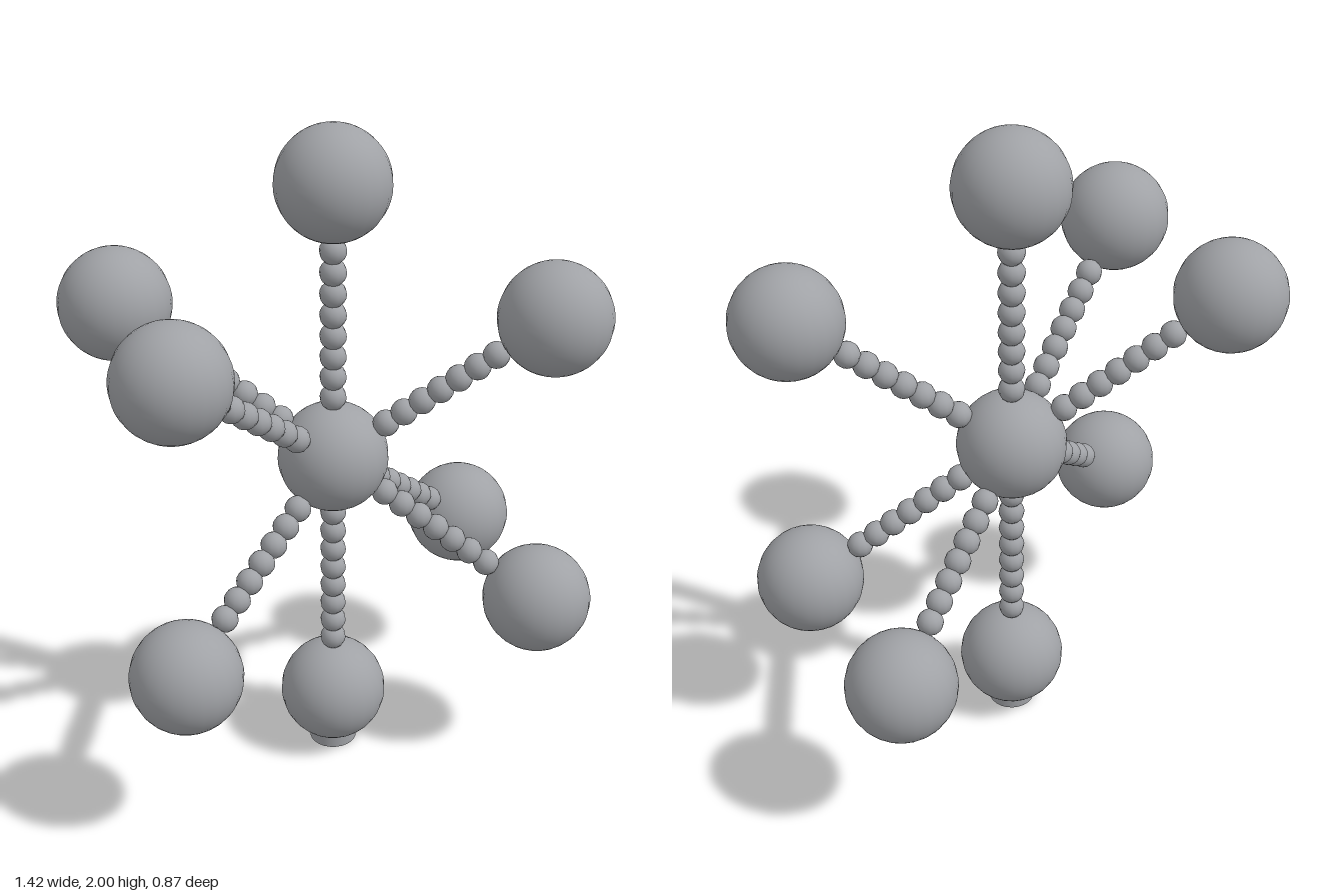
import * as THREE from 'three';

export function createModel() {
  const group = new THREE.Group();
  const grey = new THREE.MeshStandardMaterial({ color: 0xa0a2a6 });
  grey.name = 'grey metal';

  const ballGeometry = new THREE.SphereGeometry(0.162, 24, 24);
  const beadGeometry = new THREE.SphereGeometry(0.039, 12, 10);
  const center = new THREE.Vector3(0, 1.011, 0);
  const spacing = 0.0635;

  function add(geometry, name, position, parent = group) {
    const mesh = new THREE.Mesh(geometry, grey);
    mesh.name = name;
    mesh.position.copy(position);
    parent.add(mesh);
    return mesh;
  }

  // Central ball
  add(ballGeometry, 'centralBall', center);

  // Outer balls, each joined to the centre by a chain of beads
  const arms = [
    ['top', 0, 0.827, 0],
    ['bottom', 0, -0.827, 0],
    ['upperFrontLeft', 0.55, 0.457, 0.275],
    ['upperFrontRight', -0.55, 0.457, 0.275],
    ['upperBackRight', -0.55, 0.457, -0.275],
    ['lowerFrontLeft', 0.55, -0.457, 0.275],
    ['lowerFrontRight', -0.55, -0.457, 0.275],
    ['lowerBackLeft', 0.55, -0.457, -0.275],
  ];
  for (const [name, x, y, z] of arms) {
    const offset = new THREE.Vector3(x, y, z);
    add(ballGeometry, name + 'Ball', center.clone().add(offset));

    const chain = new THREE.Group();
    chain.name = name + 'BeadChain';
    group.add(chain);
    const direction = offset.clone().normalize();
    const end = offset.length() - 0.162;
    for (let d = 0.19; d < end; d += spacing) {
      add(beadGeometry, 'bead', center.clone().addScaledVector(direction, d), chain);
    }
  }

  // Short round foot
  add(new THREE.CylinderGeometry(0.073, 0.073, 0.06, 24), 'foot', new THREE.Vector3(0, 0.03, 0));

  return group;
}
